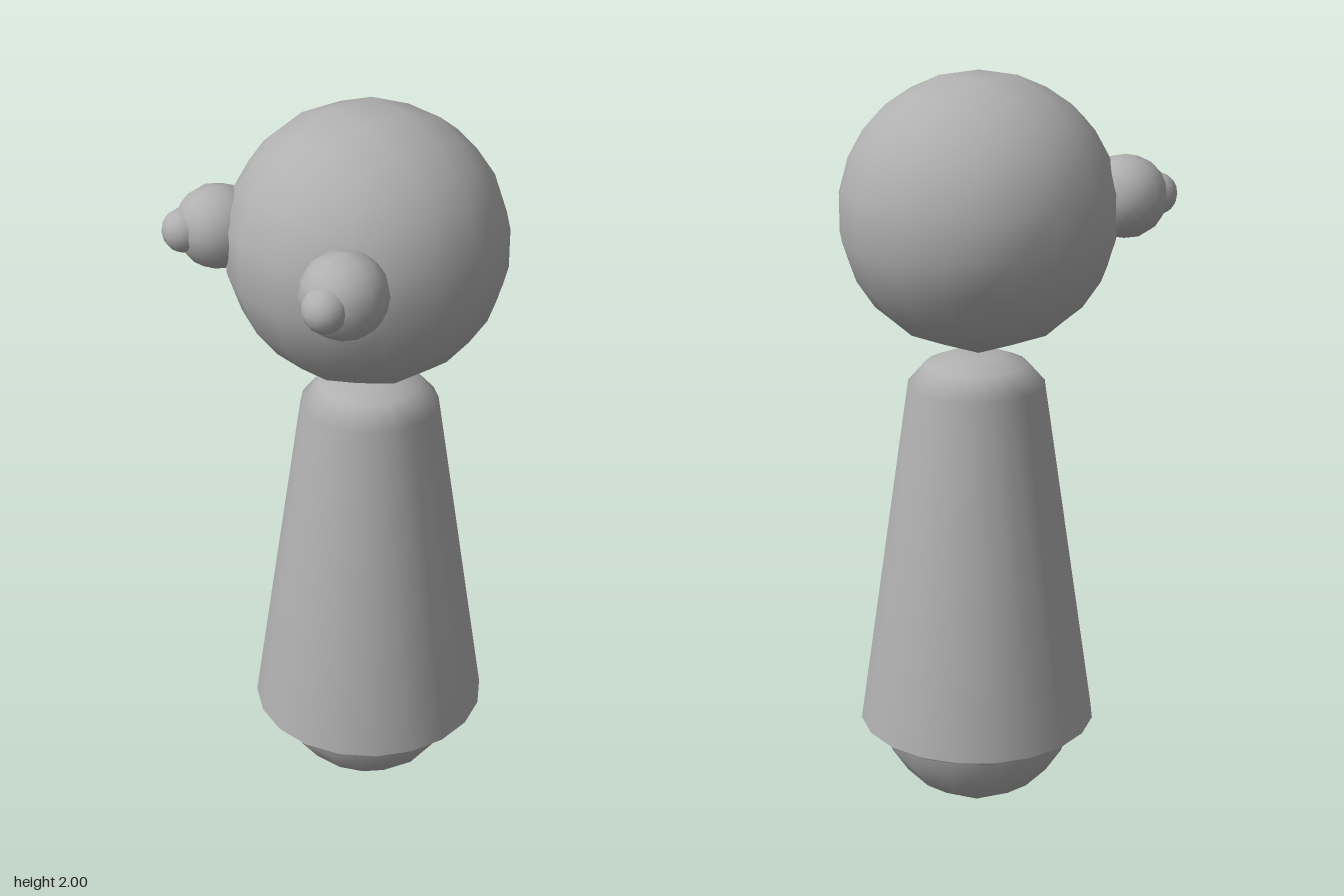
import * as THREE from 'three';

// Ball made from a subdivided cube, with smooth normals
function ballGeometry(radius, divisions) {
  const geo = new THREE.BoxGeometry(2, 2, 2, divisions, divisions, divisions);
  const pos = geo.attributes.position;
  const normal = geo.attributes.normal;
  const v = new THREE.Vector3();
  for (let i = 0; i < pos.count; i++) {
    v.fromBufferAttribute(pos, i).normalize();
    normal.setXYZ(i, v.x, v.y, v.z);
    pos.setXYZ(i, v.x * radius, v.y * radius, v.z * radius);
  }
  return geo;
}

export function createModel() {
  const group = new THREE.Group();
  const grey = new THREE.MeshStandardMaterial({ color: 0xb0b0b0 });
  grey.name = 'grey';

  function add(name, geo, x, y, z) {
    const mesh = new THREE.Mesh(geo, grey);
    mesh.name = name;
    mesh.position.set(x, y, z);
    group.add(mesh);
  }

  // Floating head
  add('head', ballGeometry(0.361, 5), 0, 1.655, -0.036);

  // Tapered body with a rounded top and a closed underside
  const profile = [
    [0, 0.235], [0.26, 0.235], [0.31, 0.24], [0.322, 0.25],
    [0.183, 1.2], [0.135, 1.255], [0.07, 1.28], [0, 1.28],
  ].map(([x, y]) => new THREE.Vector2(x, y));
  add('body', new THREE.LatheGeometry(profile, 20), 0, 0, -0.046);

  // Ball under the body
  add('baseBall', ballGeometry(0.27, 4), 0, 0.275, -0.046);

  // Bulging eyes with pupils, mirrored
  for (const [side, s] of [['left', 1], ['right', -1]]) {
    add(side + 'Eye', ballGeometry(0.109, 4), s * 0.252, 1.692, 0.242);
    add(side + 'Pupil', ballGeometry(0.057, 4), s * 0.284, 1.692, 0.323);
  }
  return group;
}
